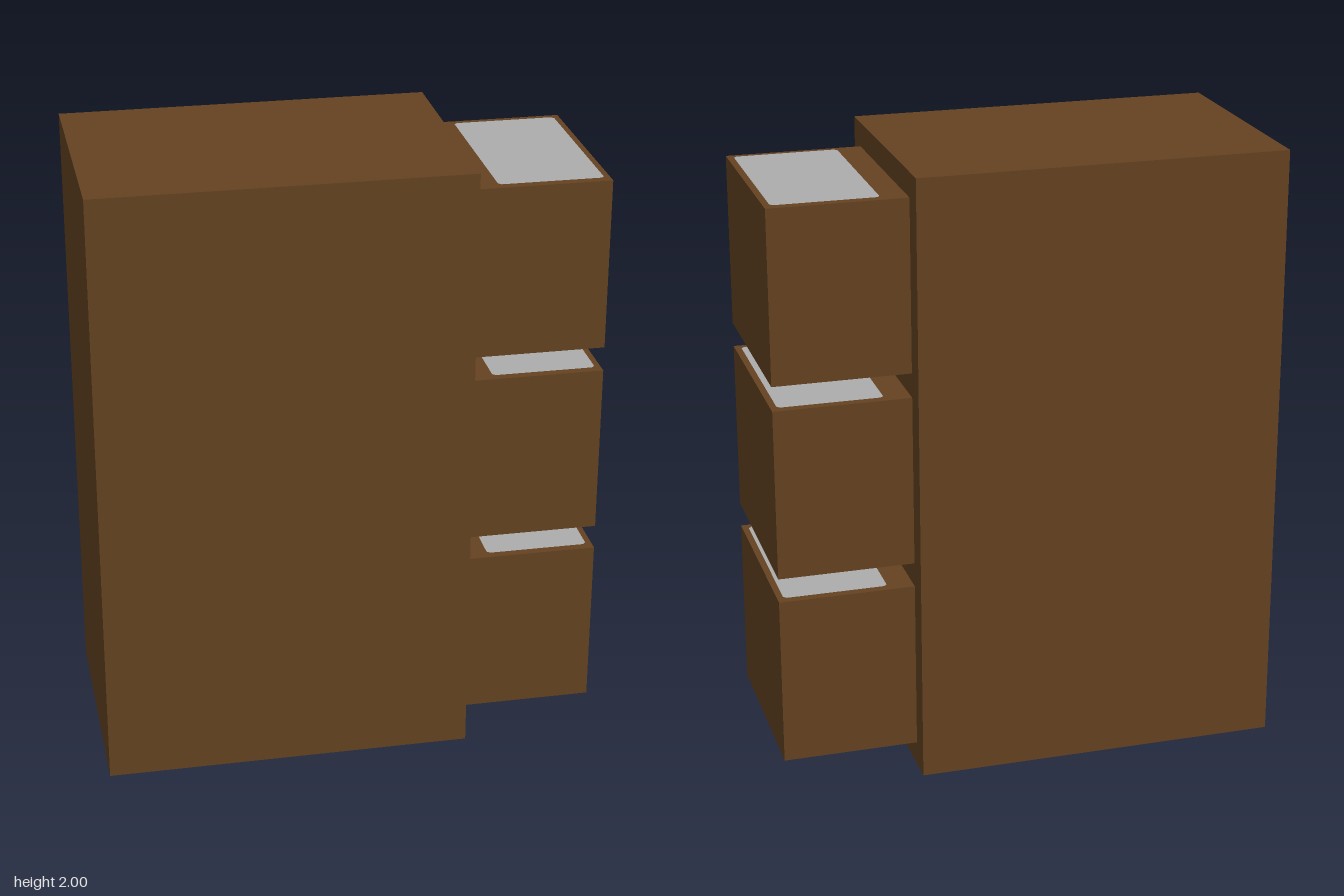
import * as THREE from 'three';

export function createModel() {
  const model = new THREE.Group();
  const wood = new THREE.MeshStandardMaterial({ color: 0x654321 });
  wood.name = 'dark brown wood';
  const lining = new THREE.MeshStandardMaterial({ color: 0xadadad });
  lining.name = 'light grey lining';

  function box(name, parent, x0, x1, y0, y1, depth) {
    const mesh = new THREE.Mesh(new THREE.BoxGeometry(x1 - x0, y1 - y0, depth), wood);
    mesh.position.set((x0 + x1) / 2, (y0 + y1) / 2, 0);
    mesh.name = name;
    parent.add(mesh);
  }

  // Thin lining panel with clipped corners, laid flat on a drawer top
  const x0 = 0.46, x1 = 0.796, d = 0.295, c = 0.01;
  const outline = new THREE.Shape([
    [x0 + c, -d], [x1 - c, -d], [x1, -d + c], [x1, d - c],
    [x1 - c, d], [x0 + c, d], [x0, d - c], [x0, -d + c],
  ].map(([x, y]) => new THREE.Vector2(x, y)));
  const panelGeometry = new THREE.ShapeGeometry(outline).rotateX(-Math.PI / 2);

  // Cabinet body
  box('cabinet', model, -0.816, 0.376, 0, 2, 0.8);

  // Three open drawers on the left side
  for (let i = 0; i < 3; i++) {
    const drawer = new THREE.Group();
    drawer.name = 'drawer' + (i + 1);
    drawer.position.y = 0.08 + 0.64 * i;
    box('drawerBox', drawer, 0.376, 0.816, 0, 0.56, 0.64);
    const panel = new THREE.Mesh(panelGeometry, lining);
    panel.name = 'drawerLining';
    panel.position.y = 0.562;
    drawer.add(panel);
    model.add(drawer);
  }
  return model;
}
